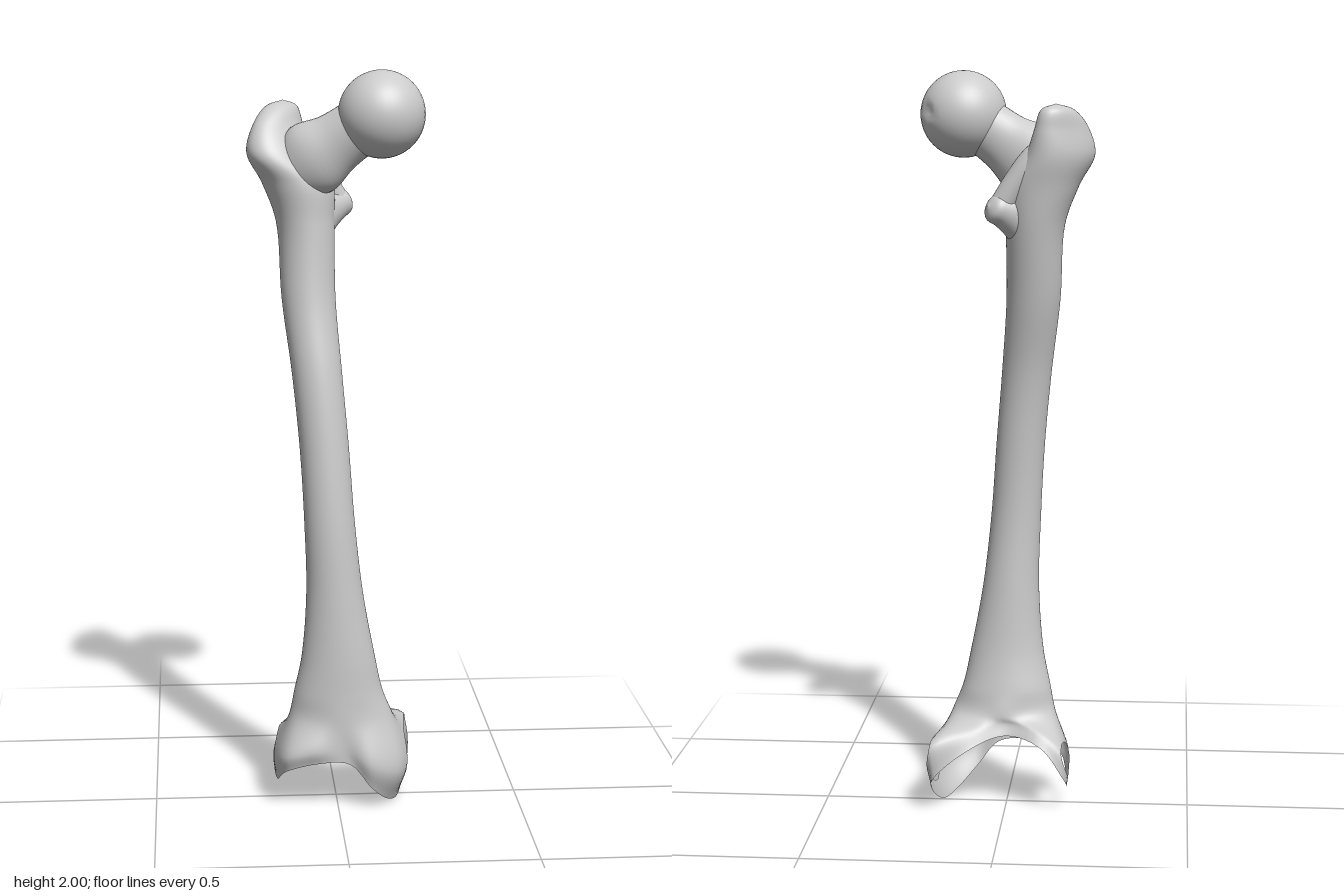
import * as THREE from 'three';

const V = (x, y, z) => new THREE.Vector3(x, y, z);
const bone = new THREE.MeshStandardMaterial({ color: 0xcccccc, side: THREE.DoubleSide });

// Cross-section: ellipse in the plane of axes U, W; shear slides it along U
const oval = (c, U, W, ru, rw, shear = 0) => (u) => {
  const a = u * Math.PI * 2;
  return c.clone()
    .addScaledVector(U, ru * Math.cos(a) + shear * Math.sin(a))
    .addScaledVector(W, rw * Math.sin(a));
};

// Cross-section: smooth closed curve through a few points
const outline = (pts) => {
  const curve = new THREE.CatmullRomCurve3(pts.map((p) => V(...p)), true);
  return (u) => curve.getPoint(((u % 1) + 1) % 1);
};

// Smooth skin through cross-sections, with optional oval holes {u, v, du, dv}
function loft(name, rings, around, steps, holes = []) {
  const rows = (rings.length - 1) * steps;
  const pos = [], inside = [], index = [];
  for (let i = 0; i <= rows; i++) {
    for (let j = 0; j < around; j++) {
      let u = j / around, v = i / steps, hit = 0;
      holes.forEach((h, k) => {
        let a = u - h.u;
        a = (a - Math.round(a)) / h.du;
        const b = (v - h.v) / h.dv, r = Math.hypot(a, b);
        if (r < 1) {
          // slide the vertex out to the rim
          const s = 1 / Math.max(r, 0.01);
          u = h.u + a * s * h.du;
          v = h.v + b * s * h.dv;
          hit = k + 1;
        }
      });
      const column = new THREE.CatmullRomCurve3(rings.map((ring) => ring(u)));
      pos.push(...column.getPoint(THREE.MathUtils.clamp(v / (rings.length - 1), 0, 1)).toArray());
      inside.push(hit);
    }
  }
  for (let i = 0; i < rows; i++) {
    for (let j = 0; j < around; j++) {
      const k = (j + 1) % around;
      const a = i * around + j, b = i * around + k, c = b + around, d = a + around;
      if (inside[a] && inside[b] && inside[c] && inside[d]) continue;
      index.push(a, b, c, a, c, d);
    }
  }
  const geo = new THREE.BufferGeometry();
  geo.setAttribute('position', new THREE.Float32BufferAttribute(pos, 3));
  geo.setIndex(index);
  geo.computeVertexNormals();
  const mesh = new THREE.Mesh(geo, bone);
  mesh.name = name;
  return mesh;
}

// Limb through stations [x, y, z, radiusUp, radiusSide], all square to one axis
function limb(name, stations) {
  const first = V(...stations[0]), last = V(...stations[stations.length - 1]);
  const d = last.sub(first).normalize();
  const U = V(0, 1, 0).addScaledVector(d, -d.y).normalize();
  const W = d.clone().cross(U);
  return loft(name, stations.map(([x, y, z, ru, rw]) => oval(V(x, y, z), U, W, ru, rw)), 32, 5);
}

export function createModel() {
  const model = new THREE.Group();
  model.name = 'thighBone';

  // Lower rim, running from the inner side round the back to the front
  const rim = outline([
    [0.175, 0.0, 0.0], [0.195, 0.09, -0.122], [0.1, 0.17, -0.105], [0, 0.2, -0.055],
    [-0.1, 0.18, -0.1], [-0.165, 0.085, -0.09], [-0.165, 0.05, 0.0], [-0.14, 0.11, 0.11],
    [-0.06, 0.135, 0.13], [0.03, 0.13, 0.125], [0.09, 0.06, 0.125], [0.14, 0.01, 0.075],
  ]);
  // Widest outline of the two condyles
  const condyles = outline([
    [0.205, 0.12, 0.0], [0.203, 0.185, -0.12], [0.1, 0.21, -0.085], [0, 0.23, -0.045],
    [-0.1, 0.21, -0.08], [-0.163, 0.16, -0.085], [-0.174, 0.13, 0.0], [-0.145, 0.15, 0.115],
    [-0.07, 0.17, 0.14], [0.02, 0.17, 0.127], [0.09, 0.13, 0.145], [0.17, 0.1, 0.1],
  ]);
  // Shaft up into the greater trochanter: y, centre x and z, radius x and z, shear
  const X = V(1, 0, 0), back = V(0, 0, -1);
  const shaft = [
    [0.25, 0.01, 0.04, 0.142, 0.088, 0],
    [0.32, 0.003, 0.046, 0.121, 0.082, 0],
    [0.42, 0.002, 0.055, 0.1, 0.075, 0],
    [0.6, -0.008, 0.06, 0.077, 0.07, 0],
    [0.8, -0.022, 0.062, 0.068, 0.067, 0],
    [1.0, -0.035, 0.05, 0.066, 0.066, 0],
    [1.2, -0.053, 0.028, 0.067, 0.067, 0],
    [1.4, -0.073, -0.013, 0.072, 0.073, 0],
    [1.6, -0.08, -0.042, 0.078, 0.086, 0],
    [1.7, -0.1, -0.047, 0.094, 0.096, 0.005],
    [1.78, -0.145, -0.055, 0.085, 0.1, 0.03],
    [1.85, -0.15, -0.075, 0.06, 0.078, 0.035],
    [1.9, -0.14, -0.098, 0.038, 0.046, 0.018],
    [1.915, -0.136, -0.105, 0.001, 0.001, 0],
  ].map(([y, cx, cz, rx, rz, s]) => oval(V(cx, y, cz), X, back, rx, rz, s));
  model.add(loft('shaft', [rim, condyles, ...shaft], 64, 8, [
    { u: 0.025, v: 0.92, du: 0.06, dv: 0.52 },
    { u: 0.455, v: 0.85, du: 0.055, dv: 0.5 },
  ]));

  // Neck
  model.add(limb('neck', [
    [-0.13, 1.71, -0.03, 0.06, 0.05], [-0.065, 1.765, -0.005, 0.1, 0.066],
    [0, 1.81, 0.012, 0.081, 0.062], [0.05, 1.845, 0.022, 0.076, 0.066],
    [0.1, 1.875, 0.03, 0.078, 0.075],
  ]));

  // Ball head with a shallow pit on its inner side
  const ball = new THREE.SphereGeometry(0.115, 40, 28);
  const pit = V(0.78, 0.08, -0.6).normalize(), p = V(0, 0, 0);
  const at = ball.attributes.position;
  for (let i = 0; i < at.count; i++) {
    p.fromBufferAttribute(at, i);
    const near = p.angleTo(pit) / 0.22;
    if (near < 1) p.multiplyScalar(1 - 0.08 * (1 - near * near));
    at.setXYZ(i, p.x, p.y, p.z);
  }
  ball.computeVertexNormals();
  const head = new THREE.Mesh(ball, bone);
  head.name = 'head';
  head.position.set(0.117, 1.885, 0.035);
  model.add(head);

  // Lesser trochanter, a rounded knob at the back
  model.add(limb('lesserTrochanter', [
    [-0.075, 1.6, -0.04, 0.1, 0.07], [-0.03, 1.625, -0.07, 0.064, 0.05],
    [0.005, 1.64, -0.093, 0.045, 0.042], [0.03, 1.647, -0.11, 0.034, 0.033],
    [0.042, 1.65, -0.118, 0.001, 0.001],
  ]));

  // Ridge joining the two trochanters
  model.add(limb('crest', [
    [-0.13, 1.82, -0.09, 0.03, 0.03], [-0.085, 1.77, -0.088, 0.042, 0.045],
    [-0.035, 1.71, -0.085, 0.038, 0.045], [0.005, 1.65, -0.09, 0.035, 0.035],
  ]));

  return model;
}
